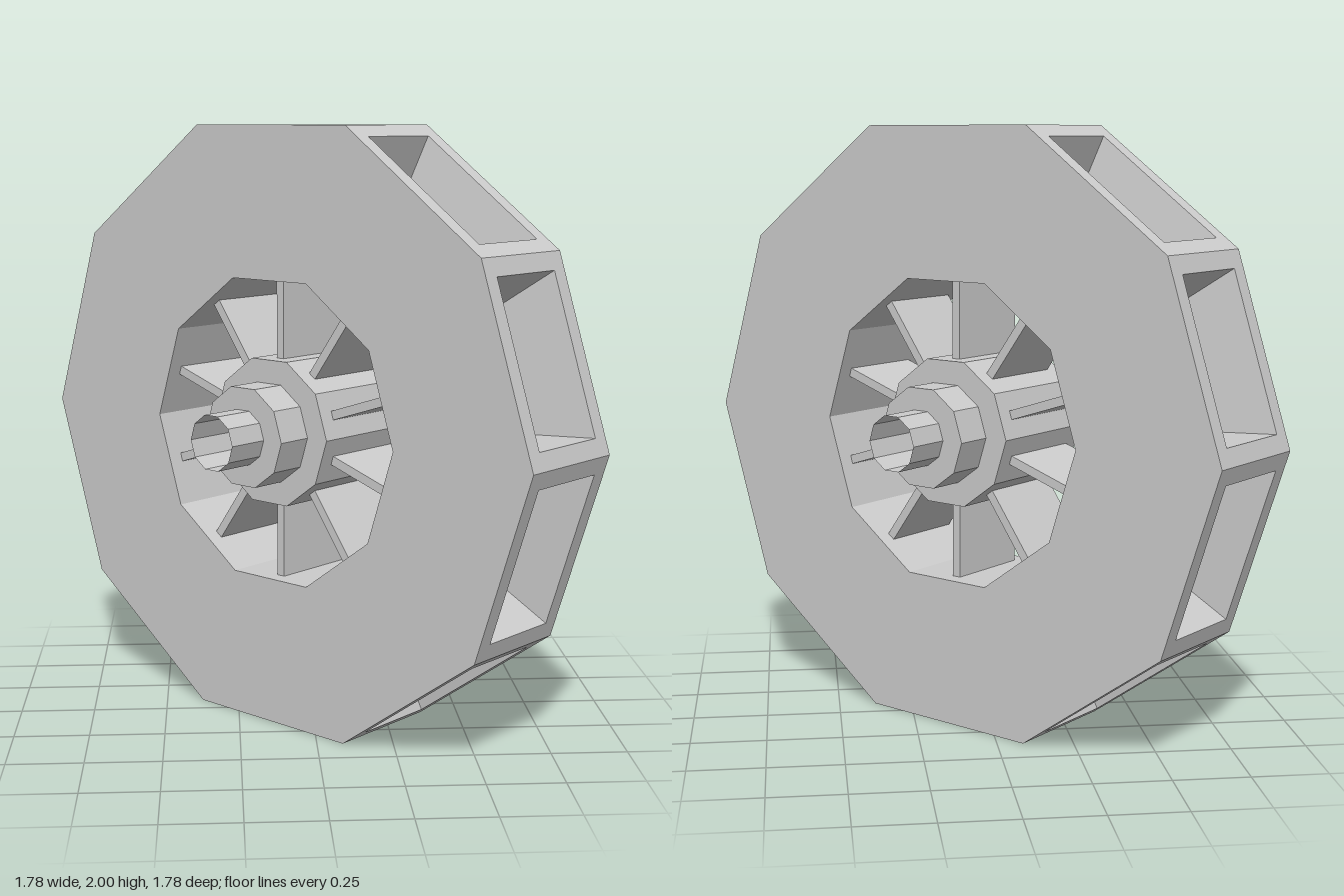
import * as THREE from 'three';

const SIDES = 10;
const STEP = (Math.PI * 2) / SIDES;
const TAN = Math.tan(STEP / 2);
const RIM_HALF = 0.205;

const solid = new THREE.MeshStandardMaterial({ color: 0xcccccc, flatShading: true });
const thin = new THREE.MeshStandardMaterial({ color: 0xcccccc, flatShading: true, side: THREE.DoubleSide });

function add(parent, name, geometry, material = solid) {
  const mesh = new THREE.Mesh(geometry, material);
  mesh.name = name;
  parent.add(mesh);
  return mesh;
}

// One rim wedge: rectangles [y, half length, half width] lofted from the
// inner wall to the outer rim, across the frame and down into the bucket.
function bucketGeometry() {
  const sections = [
    [0.5, 0.5 * TAN, RIM_HALF],
    [1, TAN, RIM_HALF],
    [1, 0.265, 0.15],
    [0.64, 0.165, 0.09],
  ].map(([y, l, w]) => [[l, y, w], [l, y, -w], [-l, y, -w], [-l, y, w]]);
  const pos = [];
  const quad = (a, b, c, d) => pos.push(...a, ...b, ...c, ...a, ...c, ...d);

  for (let s = 0; s < 3; s++) {
    const A = sections[s], B = sections[s + 1];
    for (let j = 0; j < 4; j++) {
      // the wedge ends touch their neighbours, so they stay open
      if (s === 0 && j % 2 === 0) continue;
      const k = (j + 1) % 4;
      quad(A[j], A[k], B[k], B[j]);
    }
  }
  quad(...sections[3]); // bucket floor
  quad(...[...sections[0]].reverse()); // wall facing the hub

  const g = new THREE.BufferGeometry();
  g.setAttribute('position', new THREE.Float32BufferAttribute(pos, 3));
  g.computeVertexNormals();
  return g;
}

export function createModel() {
  const model = new THREE.Group();
  model.name = 'waterWheel';

  // Wheel is built with its axle along z, then turned to the diagonal
  const wheel = new THREE.Group();
  wheel.name = 'wheel';
  wheel.position.y = 1;
  wheel.rotation.y = -Math.PI / 4;
  model.add(wheel);

  // Rim buckets and spokes
  const bucket = bucketGeometry();
  const spoke = new THREE.BoxGeometry(0.03, 0.29, 0.3).translate(0, 0.365, 0);
  for (let i = 0; i < SIDES; i++) {
    add(wheel, 'rimBucket', bucket).rotation.z = i * STEP;
    add(wheel, 'spoke', spoke).rotation.z = i * STEP;
  }

  // Stepped hub
  const profile = [
    [0.093, -0.33], [0.17, -0.33], [0.17, -RIM_HALF], [0.252, -RIM_HALF],
    [0.252, RIM_HALF], [0.17, RIM_HALF], [0.17, 0.33], [0.093, 0.33],
  ].map(([r, y]) => new THREE.Vector2(r, y));
  const hub = new THREE.LatheGeometry(profile, SIDES, STEP / 2).rotateX(Math.PI / 2);
  add(wheel, 'hub', hub, thin);

  // Hollow axle
  const axle = new THREE.CylinderGeometry(0.093, 0.093, 0.95, SIDES, 1, true, STEP / 2);
  add(wheel, 'axle', axle.rotateX(Math.PI / 2), thin);

  return model;
}
